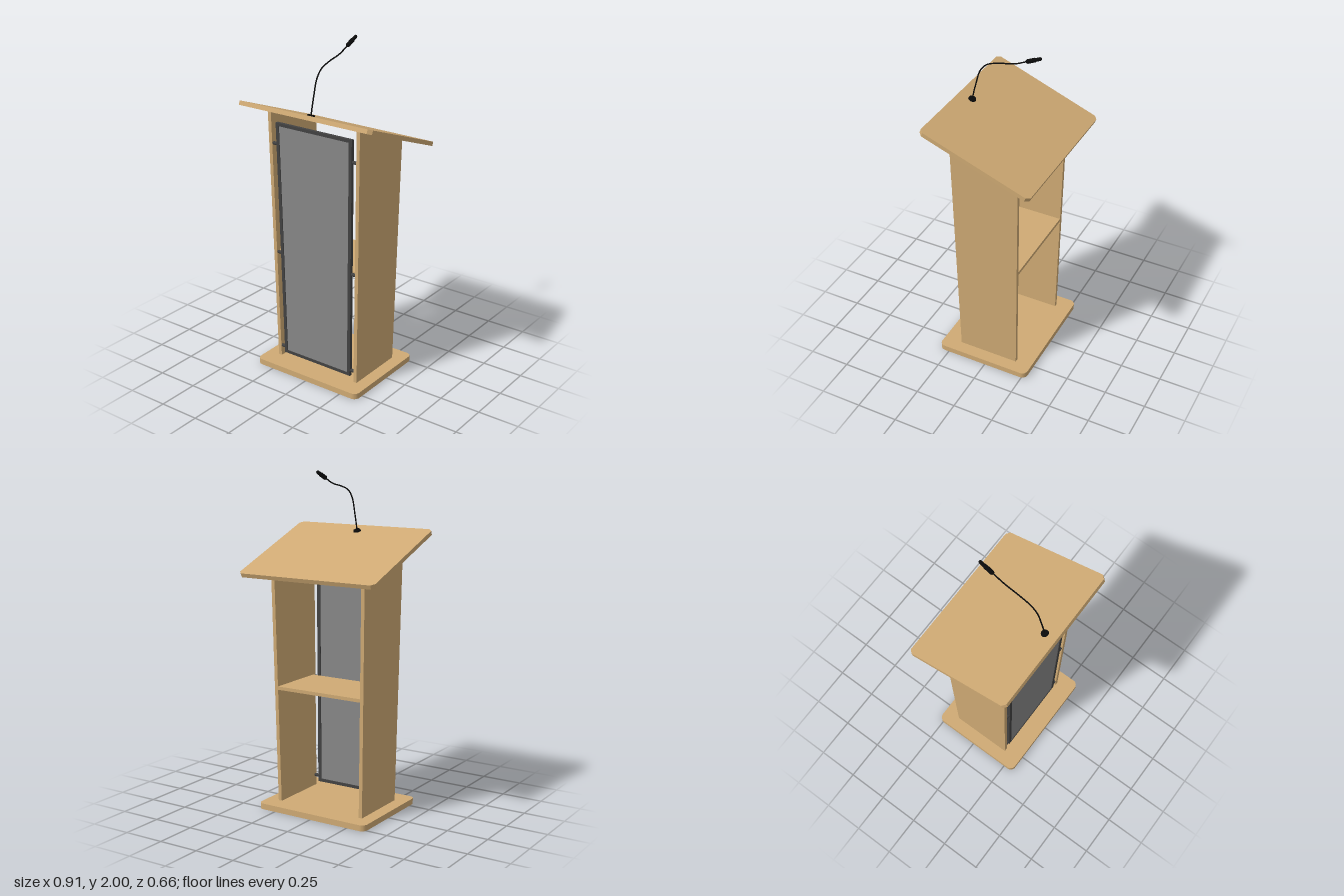
import * as THREE from 'three';

const flat = (name, color) => {
  const m = new THREE.MeshStandardMaterial({ color });
  m.name = name;
  return m;
};

// Height ratio along the tapered body, 0 at the base and 1 at the desk
const bodyT = (y) => (y - 0.035) / 1.56;
const bodyFront = (y) => 0.2 + 0.022 * bodyT(y);
const bodyBack = (y) => -0.175 - 0.022 * bodyT(y);
const bodyInner = (y) => 0.27 + 0.026 * bodyT(y);

const SLOPE = 0.36; // desk tilt in radians
const underDesk = (z) => 1.51 + z * Math.tan(SLOPE);

// Moves every vertex of a geometry by a rule
function reshape(geo, rule) {
  const p = geo.attributes.position, v = new THREE.Vector3();
  for (let i = 0; i < p.count; i++) {
    v.fromBufferAttribute(p, i);
    rule(v);
    p.setXYZ(i, v.x, v.y, v.z);
  }
  geo.computeVertexNormals();
  return geo;
}

// Closed outline from [x, y] pairs
const outline = (pts, Type = THREE.Shape) => new Type(pts.map(([x, y]) => new THREE.Vector2(x, y)));

// Symmetric trapezoid, lower and upper half-widths
const trapezoid = (w0, y0, w1, y1, Type) => outline([[-w0, y0], [w0, y0], [w1, y1], [-w1, y1]], Type);

const extrude = (shape, depth) =>
  new THREE.ExtrudeGeometry(shape, { depth, bevelEnabled: false, curveSegments: 4 });

// Rectangle with rounded corners
function roundedRect(w, d, r) {
  const s = new THREE.Shape();
  s.absarc(w - r, d - r, r, 0, Math.PI / 2);
  s.absarc(-w + r, d - r, r, Math.PI / 2, Math.PI);
  s.absarc(-w + r, -d + r, r, Math.PI, Math.PI * 1.5);
  s.absarc(w - r, -d + r, r, Math.PI * 1.5, Math.PI * 2);
  return s;
}

export function createModel() {
  const group = new THREE.Group();
  group.name = 'lectern';
  const wood = flat('wood', 0xcfaa74);
  const glass = flat('greyPanel', 0x878787);
  const metal = flat('darkMetal', 0x424242);
  const black = flat('black', 0x0a0a0a);

  const add = (name, geo, mat, parent = group) => {
    const mesh = new THREE.Mesh(geo, mat);
    mesh.name = name;
    parent.add(mesh);
    return mesh;
  };

  // Base plate
  const base = add('base', extrude(roundedRect(0.368, 0.295, 0.035), 0.035), wood);
  base.rotation.x = -Math.PI / 2;
  base.position.z = 0.019;

  // Side panels, leaning outwards and cut to the desk slope
  for (const side of [1, -1]) {
    const geo = reshape(new THREE.BoxGeometry(1, 1, 1), (v) => {
      const top = v.y > 0, front = v.z > 0;
      const outer = v.x * side > 0 ? 0.022 : 0;
      v.z = front ? (top ? 0.222 : 0.2) : (top ? -0.196 : -0.175);
      v.y = top ? underDesk(v.z) : 0.035;
      v.x = side * (bodyInner(v.y) + outer);
    });
    add(side > 0 ? 'leftPanel' : 'rightPanel', geo, wood);
  }

  // Middle shelf
  const shelf = reshape(new THREE.BoxGeometry(1, 0.02, 1), (v) => {
    v.y += 0.729;
    v.x = Math.sign(v.x) * bodyInner(v.y);
    v.z = v.z > 0 ? 0.183 : bodyBack(v.y);
  });
  add('shelf', shelf, wood);

  // Sloping desk top with clipped corners, a little wider at the front
  const c = 0.021, L = 0.347;
  const desk = add('deskTop', extrude(outline([
    [-0.456 + c, -L], [0.456 - c, -L], [0.456, -L + c], [0.451, L - c],
    [0.451 - c, L], [-0.451 + c, L], [-0.451, L - c], [-0.456, -L + c],
  ]), 0.025).translate(0, 0, -0.0125), wood);
  desk.rotation.x = -Math.PI / 2 - SLOPE;
  desk.rotation.x = -Math.PI / 2 + -SLOPE;
  desk.position.y = 1.523;

  // Front frame and infill, leaning with the body
  const lean = (offset) => (v) => { v.z += bodyFront(v.y) + offset; };
  const ring = trapezoid(0.243, 0.065, 0.264, 1.535);
  ring.holes.push(trapezoid(0.223, 0.083, 0.243, 1.517, THREE.Path));
  add('frontFrame', reshape(extrude(ring, 0.02), lean(-0.02)), metal);
  add('frontInfill', reshape(extrude(trapezoid(0.225, 0.08, 0.245, 1.52), 0.01), lean(-0.014)), glass);

  // Pins holding the frame to the side panels
  for (const y of [0.1, 0.727, 1.405]) {
    for (const side of [1, -1]) {
      const x0 = 0.235 + 0.021 * bodyT(y), x1 = bodyInner(y) + 0.004;
      const pin = add('framePin', new THREE.CylinderGeometry(0.01, 0.01, x1 - x0, 12), metal);
      pin.rotation.z = Math.PI / 2;
      pin.position.set(side * (x0 + x1) / 2, y, bodyFront(y) - 0.012);
    }
  }

  // Gooseneck microphone
  const mic = new THREE.Group();
  mic.name = 'microphone';
  mic.position.x = 0.006;
  group.add(mic);

  const foot = add('microphoneFoot', new THREE.CylinderGeometry(0.02, 0.023, 0.01, 20), black, mic);
  foot.rotation.x = -SLOPE;
  foot.position.set(0, 1.632, 0.243);

  const neck = new THREE.CatmullRomCurve3([
    [1.63, 0.243], [1.66, 0.237], [1.735, 0.218], [1.825, 0.19], [1.873, 0.148],
    [1.9, 0.074], [1.921, -0.02], [1.957, -0.1],
  ].map(([y, z]) => new THREE.Vector3(0, y, z)));
  add('microphoneNeck', new THREE.TubeGeometry(neck, 40, 0.004, 8), black, mic);

  const head = add('microphoneHead', new THREE.LatheGeometry([
    [0, 0], [0.008, 0], [0.0125, 0.008], [0.0125, 0.056], [0.01, 0.06],
    [0.01, 0.088], [0.007, 0.096], [0, 0.099],
  ].map(([r, h]) => new THREE.Vector2(r, h)), 16), black, mic);
  head.rotation.x = -1.14;
  head.position.set(0, 1.952, -0.09);

  return group;
}
